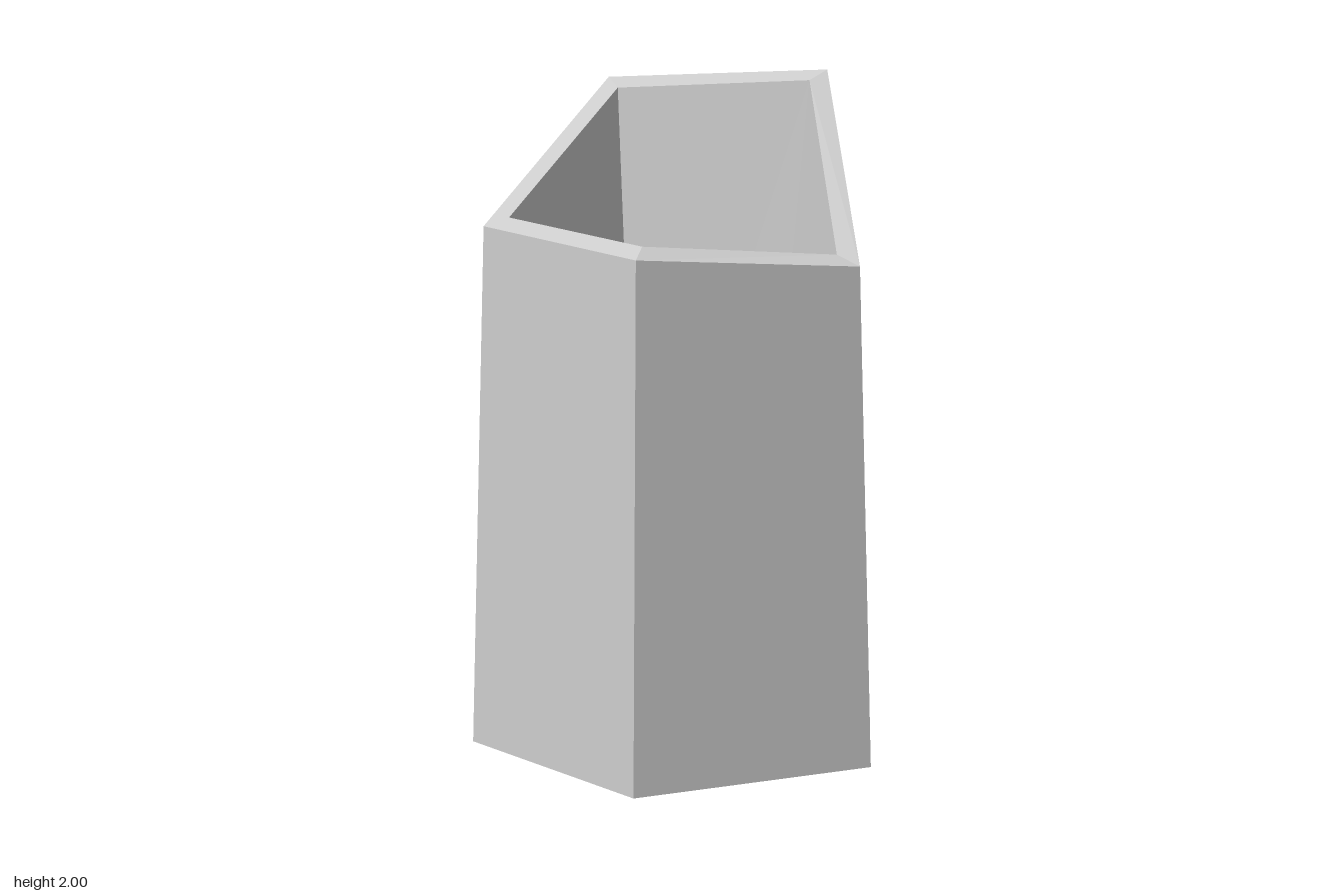
import * as THREE from 'three';

const SIDES = 5;
const CENTRE_X = -0.06;

// Regular pentagon ring, corners running from +x towards -z; y is one height or one per corner
function ring(radius, y) {
  return Array.from({ length: SIDES }, (_, i) => {
    const a = (i / SIDES) * Math.PI * 2;
    const h = Array.isArray(y) ? y[i] : y;
    return new THREE.Vector3(CENTRE_X + radius * Math.cos(a), h, -radius * Math.sin(a));
  });
}

// Flat-shaded mesh from a list of triangle corners
function facetMesh(name, points) {
  const geometry = new THREE.BufferGeometry().setFromPoints(points);
  geometry.computeVertexNormals();
  const mesh = new THREE.Mesh(
    geometry,
    new THREE.MeshStandardMaterial({ color: 0xcccccc, flatShading: true })
  );
  mesh.name = name;
  return mesh;
}

// Band of quads joining two rings
function band(name, a, b) {
  const points = [];
  for (let i = 0; i < SIDES; i++) {
    const j = (i + 1) % SIDES;
    points.push(a[i], a[j], b[j], a[i], b[j], b[i]);
  }
  return facetMesh(name, points);
}

// Pentagon face closing a ring
function cap(name, r, faceDown = false) {
  const points = [];
  for (let i = 1; i < SIDES - 1; i++) {
    points.push(r[0], ...(faceDown ? [r[i + 1], r[i]] : [r[i], r[i + 1]]));
  }
  return facetMesh(name, points);
}

export function createModel() {
  const group = new THREE.Group();
  group.name = 'pentagonalVase';

  // Rings from the hollow underneath, up the outside, over the slanted rim, down inside
  const recessTop = ring(0.21, 0.19);
  const recessMouth = ring(0.4, 0);
  const base = ring(0.64, 0);
  const rimOuter = ring(0.588, [2.0, 1.97, 1.565, 1.525, 1.475]);
  const rimInner = ring(0.513, [1.97, 1.94, 1.59, 1.555, 1.505]);

  // Slightly uneven inner floor
  const floor = [[0.255, -0.01], [0.037, -0.325], [-0.305, -0.212], [-0.305, 0.197], [0.037, 0.322]]
    .map(([x, z]) => new THREE.Vector3(x, 0.3, z));

  group.add(
    cap('recessCeiling', recessTop, true),
    band('recessWalls', recessTop, recessMouth),
    band('baseRing', recessMouth, base),
    band('outerWalls', base, rimOuter),
    band('rim', rimOuter, rimInner),
    band('innerWalls', rimInner, floor),
    cap('innerFloor', floor)
  );
  return group;
}
